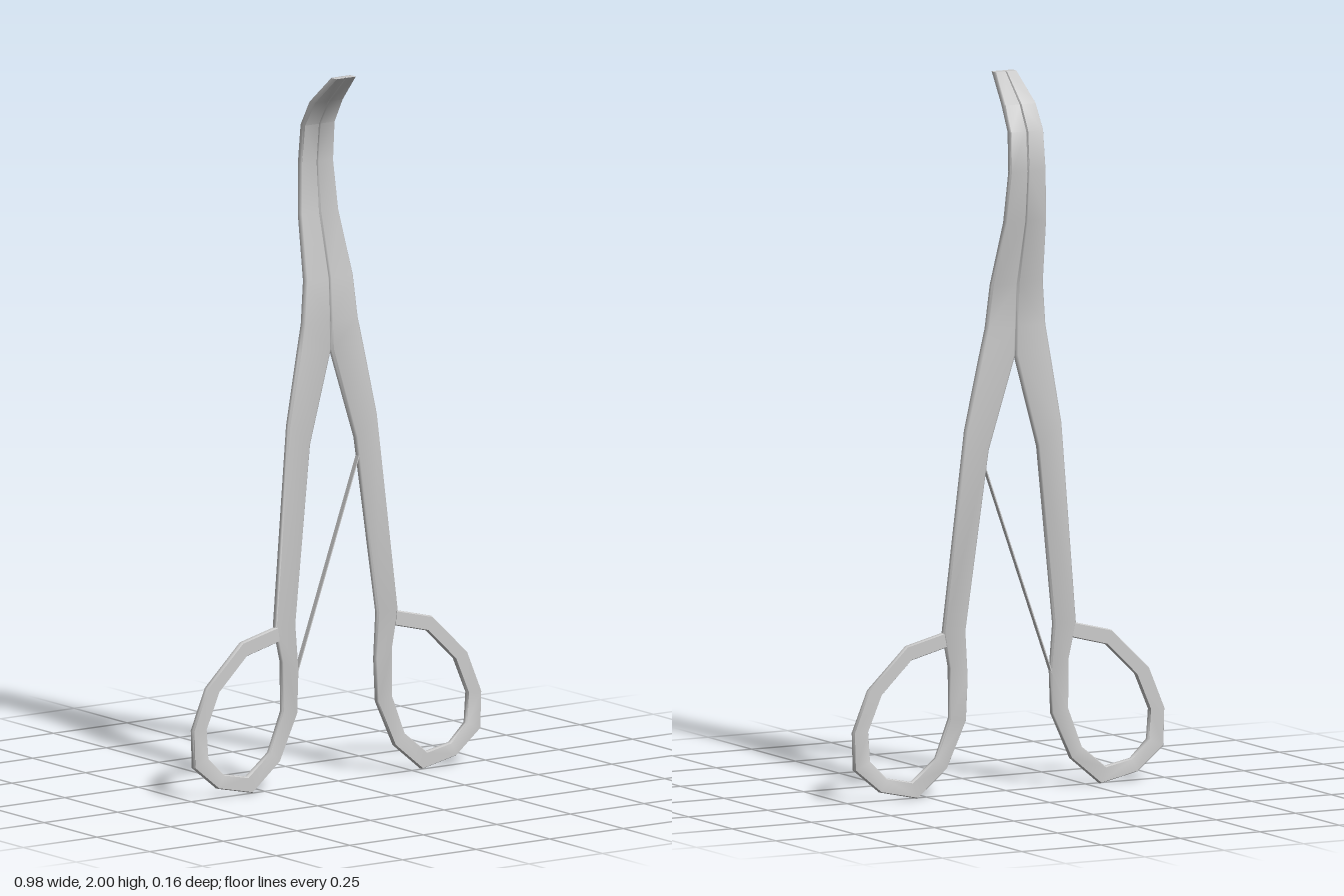
import * as THREE from 'three';
import { toCreasedNormals } from 'three/addons/utils/BufferGeometryUtils.js';

// Each station: edge A (x, y), edge B (x, y), depth centre z, half thickness.
// Runs from the tip down the arm and on around the finger ring.
const STATIONS = [
  [0, 2, 0.034, 2, 0.072, 0.013],
  [0, 1.92, 0.05, 1.92, -0.013, 0.013],
  [0, 1.85, 0.053, 1.85, -0.055, 0.011],
  [0, 1.74, 0.056, 1.74, -0.068, 0.01],
  [0, 1.6, 0.065, 1.6, -0.06, 0.01],
  [0, 1.42, 0.081, 1.42, -0.018, 0.01],
  [0, 1.3, 0.093, 1.3, -0.015, 0.01],
  [0, 1.22, 0.11, 1.22, -0.014, 0.01],
  [0.077, 0.96, 0.151, 1.02, -0.012, 0.009],
  [0.139, 0.46, 0.209, 0.46, -0.009, 0.009],
  // finger ring
  [0.13, 0.33, 0.188, 0.36, -0.008, 0.009],
  [0.135, 0.21, 0.187, 0.22, -0.007, 0.009],
  [0.195, 0.08, 0.23, 0.11, -0.007, 0.009],
  [0.288, 0.003, 0.305, 0.05, -0.007, 0.009],
  [0.405, 0.028, 0.385, 0.066, -0.007, 0.009],
  [0.487, 0.095, 0.437, 0.116, -0.007, 0.009],
  [0.49, 0.2, 0.443, 0.2, -0.007, 0.009],
  [0.442, 0.315, 0.4, 0.3, -0.007, 0.009],
  [0.322, 0.43, 0.307, 0.39, -0.007, 0.009],
  [0.202, 0.46, 0.197, 0.418, -0.007, 0.009],
];

// Bevelled bar section: u across the bar, v through its thickness
const SECTION = [
  [1, -0.5], [1, 0.5], [0.88, 1], [-0.88, 1],
  [-1, 0.5], [-1, -0.5], [-0.88, -1], [0.88, -1],
];

// The midline leans slightly towards -x at the tip
const midline = (y) => -0.034 + 0.0194 * (2 - Math.max(y, 0.4));

function armGeometry(side) {
  const n = SECTION.length;
  const positions = [];
  const index = [];
  const tri = (a, b, c) => (side > 0 ? index.push(a, b, c) : index.push(a, c, b));

  for (const [ax, ay, bx, by, z, half] of STATIONS) {
    for (const [u, v] of SECTION) {
      const t = (u + 1) / 2;
      const x = ax + (bx - ax) * t;
      const y = ay + (by - ay) * t;
      positions.push(side * x + midline(y), y, z + v * half);
    }
  }
  // skin between neighbouring stations
  for (let i = 0; i < STATIONS.length - 1; i++) {
    for (let j = 0; j < n; j++) {
      const k = (j + 1) % n;
      const a = i * n + j, b = i * n + k;
      tri(a, b, b + n);
      tri(a, b + n, a + n);
    }
  }
  // end caps
  const last = (STATIONS.length - 1) * n;
  for (let j = 1; j < n - 1; j++) {
    tri(0, j + 1, j);
    tri(last, last + j, last + j + 1);
  }
  const geometry = new THREE.BufferGeometry();
  geometry.setAttribute('position', new THREE.Float32BufferAttribute(positions, 3));
  geometry.setIndex(index);
  return toCreasedNormals(geometry, 1.0);
}

export function createModel() {
  const group = new THREE.Group();
  group.name = 'curvedForceps';
  const material = new THREE.MeshStandardMaterial({ color: 0xcccccc });

  // two mirrored arms, each with its finger ring
  for (const [name, side] of [['leftArm', 1], ['rightArm', -1]]) {
    const arm = new THREE.Mesh(armGeometry(side), material);
    arm.name = name;
    group.add(arm);
  }

  // thin ribbon strut running diagonally between the arms
  const top = new THREE.Vector3(0.072, 0.91, -0.01);
  const bottom = new THREE.Vector3(-0.142, 0.31, -0.008);
  const strut = new THREE.Mesh(new THREE.BoxGeometry(0.003, top.distanceTo(bottom), 0.015), material);
  strut.name = 'diagonalStrut';
  strut.position.copy(top).add(bottom).multiplyScalar(0.5);
  strut.rotation.z = -Math.atan2(top.x - bottom.x, top.y - bottom.y);
  group.add(strut);

  return group;
}
